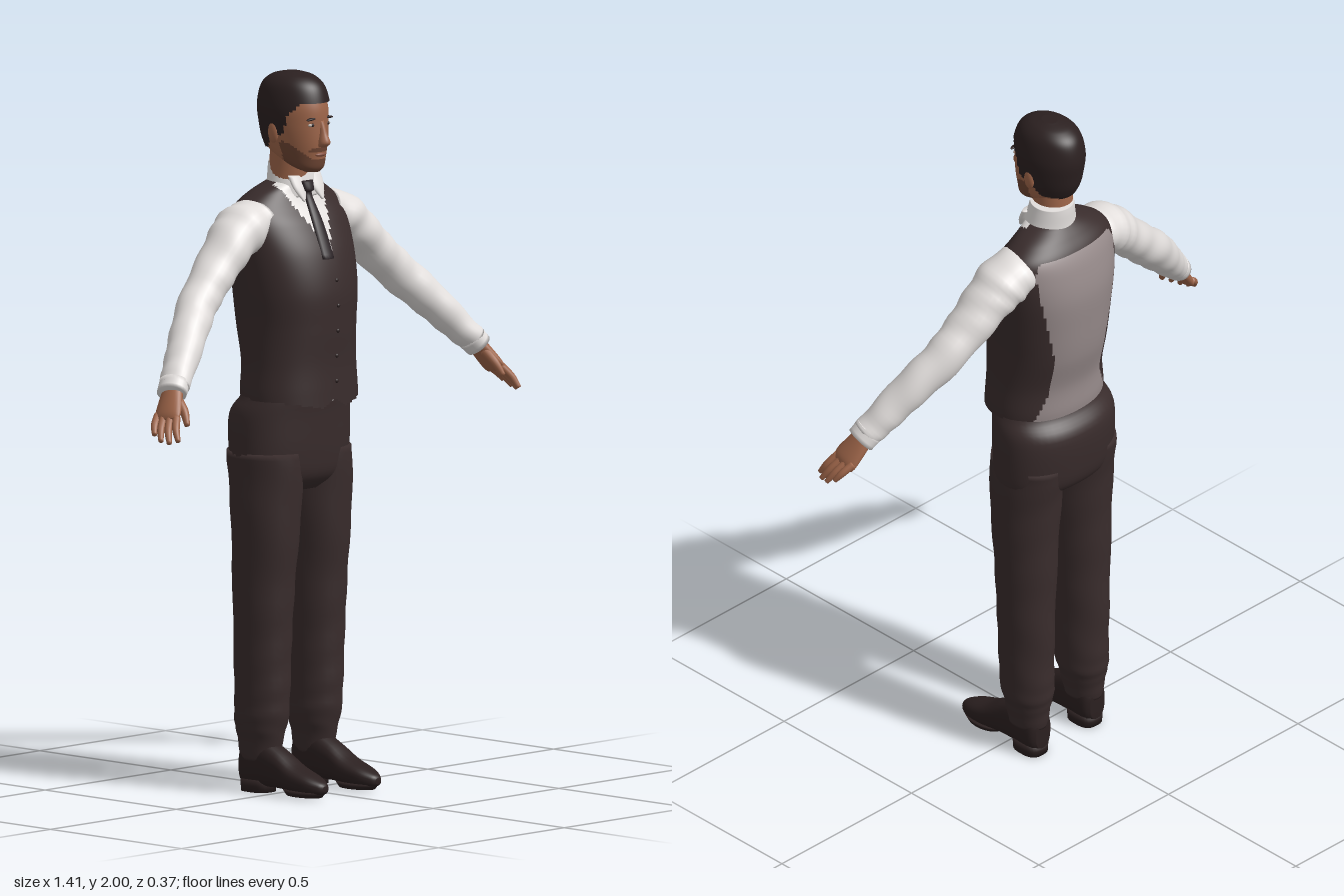
import * as THREE from 'three';

const mat = (name, color) => {
  const m = new THREE.MeshStandardMaterial({ color });
  m.name = name;
  return m;
};
const suit = mat('dark suit', 0x392c2c);
const hairMat = mat('dark hair', 0x2b2020);
const tieMat = mat('tie', 0x2c2427);
const shirt = mat('white shirt', 0xe2dedc);
const lining = mat('grey vest back', 0x968a8a);
const skin = mat('skin', 0x9e6549);
const beardMat = mat('beard', 0x6e4533);
const lipMat = mat('lips', 0x86503f);
const eyeMat = mat('eye white', 0xb8aca4);

// Linear look-up in a table of [input, output] pairs with rising input
function lookup(table, v) {
  if (v <= table[0][0]) return table[0][1];
  for (let i = 1; i < table.length; i++) {
    const [x0, y0] = table[i - 1], [x1, y1] = table[i];
    if (v <= x1) return y0 + (y1 - y0) * (v - x0) / (x1 - x0);
  }
  return table[table.length - 1][1];
}

// Smooth in-between rings
function resample(rings, k) {
  const out = [], n = rings.length - 1;
  for (let i = 0; i < n; i++) {
    const [p, a, b, q] = [i - 1, i, i + 1, i + 2].map(j => rings[Math.min(n, Math.max(0, j))]);
    for (let s = 0; s < k; s++) {
      const t = s / k;
      out.push(a.map((v, c) => v + 0.5 * t * (b[c] - p[c] + t * (2 * p[c] - 5 * v + 4 * b[c] - q[c]
        + t * (3 * (v - b[c]) + q[c] - p[c])))));
    }
  }
  out.push(rings[n]);
  return out;
}

// Skin over oval rings [x, y, z, halfWidth, halfDepth]; rule picks a material per face, -1 leaves it out
function loft(name, mats, rings, { axis = null, ref = [0, 0, 1], seg = 28, k = 5, n = 2, fold = 0, rule = null, caps = true } = {}) {
  const R = resample(rings, k), pos = [], V0 = new THREE.Vector3(...ref);
  const C = R.map(r => new THREE.Vector3(r[0], r[1], r[2]));
  R.forEach((r, i) => {
    const T = axis ? new THREE.Vector3(...axis)
      : C[Math.min(i + 1, C.length - 1)].clone().sub(C[Math.max(i - 1, 0)]).normalize();
    const V = V0.clone().addScaledVector(T, -V0.dot(T)).normalize();
    const U = T.clone().cross(V);
    for (let j = 0; j < seg; j++) {
      const w = j / seg * Math.PI * 2, c = Math.cos(w), s = Math.sin(w);
      const f = 1 + fold * Math.sin(i * 1.15 + 2 * Math.sin(w + i * 0.2));
      const p = C[i].clone()
        .addScaledVector(U, r[3] * f * Math.sign(c) * Math.abs(c) ** (2 / n))
        .addScaledVector(V, r[4] * f * Math.sign(s) * Math.abs(s) ** (2 / n));
      pos.push(p.x, p.y, p.z);
    }
  });
  const list = Array.isArray(mats) ? mats : [mats], faces = list.map(() => []);
  const add = (...ids) => {
    const m = [0, 1, 2].map(c => ids.reduce((t, id) => t + pos[id * 3 + c], 0) / ids.length);
    const g = rule ? rule(...m) : 0;
    if (g < 0) return;
    const [a, b, c, d] = ids;
    faces[g].push(a, b, c);
    if (d !== undefined) faces[g].push(a, c, d);
  };
  for (let i = 0; i < R.length - 1; i++) for (let j = 0; j < seg; j++) {
    const a = i * seg + j, b = i * seg + (j + 1) % seg;
    add(a, a + seg, b + seg, b);
  }
  if (caps) [0, R.length - 1].forEach((i, end) => {
    const c = pos.length / 3;
    pos.push(C[i].x, C[i].y, C[i].z);
    for (let j = 0; j < seg; j++) {
      const a = i * seg + j, b = i * seg + (j + 1) % seg;
      end ? add(c, b, a) : add(c, a, b);
    }
  });
  const geo = new THREE.BufferGeometry();
  geo.setAttribute('position', new THREE.Float32BufferAttribute(pos, 3));
  geo.setIndex(faces.flat());
  let start = 0;
  faces.forEach((f, i) => { geo.addGroup(start, f.length, i); start += f.length; });
  geo.computeVertexNormals();
  const mesh = new THREE.Mesh(geo, list.length > 1 ? list : list[0]);
  mesh.name = name;
  return mesh;
}

function ball(name, m, p, size, rz = 0) {
  const b = new THREE.Mesh(new THREE.SphereGeometry(1, 16, 12), m);
  b.name = name;
  b.position.set(...p);
  b.scale.set(...size);
  b.rotation.z = rz;
  return b;
}

const UP = [0, 1, 0];

function buildHead() {
  const head = new THREE.Group();
  head.name = 'head';
  head.position.x = -0.012;
  const skull = [[0, 1.728, 0.05, 0.022, 0.02], [0, 1.742, 0.034, 0.044, 0.046], [0, 1.77, 0.002, 0.06, 0.083],
    [0, 1.81, -0.01, 0.07, 0.1], [0, 1.86, -0.016, 0.077, 0.106], [0, 1.91, -0.02, 0.078, 0.107],
    [0, 1.955, -0.022, 0.066, 0.092], [0, 1.982, -0.022, 0.043, 0.06], [0, 1.993, -0.022, 0.012, 0.016]];
  // Beard covers jaw, chin and upper lip
  const isBeard = (x, y, z) => z > -0.005 && (y < lookup([[0, 1.764], [0.03, 1.768], [0.06, 1.80], [0.08, 1.83]], Math.abs(x))
    || (Math.abs(x) < 0.034 && y > 1.787 && y < 1.797 && z > 0.05));
  head.add(loft('face', [skin, beardMat], skull, { axis: UP, seg: 64, k: 7, rule: (x, y, z) => isBeard(x, y, z) ? 1 : 0 }));
  const line = [[-0.13, 1.775], [-0.05, 1.795], [-0.03, 1.83], [0.012, 1.835], [0.03, 1.885], [0.06, 1.92], [0.12, 1.925]];
  head.add(loft('hair', hairMat, skull.map(([x, y, z, a, b]) => [x, y + 0.007 * (y > 1.95), z, a + 0.007, b + 0.007]),
    { axis: UP, seg: 64, k: 9, rule: (x, y, z) => y > lookup(line, z) ? 0 : -1 }));
  head.add(loft('neck', skin, [[0, 1.67, -0.04, 0.058, 0.058], [0, 1.73, -0.034, 0.055, 0.06], [0, 1.79, -0.03, 0.055, 0.06]], { axis: UP }));
  head.add(loft('nose', skin, [[0, 1.799, 0.086, 0.013, 0.012], [0, 1.812, 0.096, 0.016, 0.019],
    [0, 1.84, 0.09, 0.01, 0.014], [0, 1.872, 0.083, 0.008, 0.009]], { axis: UP, seg: 16 }));
  head.add(ball('lips', lipMat, [0, 1.778, 0.083], [0.021, 0.006, 0.008]));
  for (const s of [-1, 1]) {
    head.add(ball('ear', skin, [s * 0.079, 1.838, -0.022], [0.009, 0.03, 0.018]));
    head.add(ball('eye', eyeMat, [s * 0.03, 1.862, 0.077], [0.013, 0.005, 0.006]));
    head.add(ball('iris', hairMat, [s * 0.03, 1.862, 0.081], [0.005, 0.005, 0.004]));
    head.add(ball('eyebrow', hairMat, [s * 0.032, 1.879, 0.079], [0.02, 0.004, 0.007], -s * 0.1));
  }
  return head;
}

function buildTorso() {
  const torso = new THREE.Group();
  torso.name = 'torso';
  const rings = [[0, 1.07, -0.008, 0.176, 0.135], [0, 1.12, -0.012, 0.176, 0.138], [0, 1.2, -0.013, 0.169, 0.138],
    [0, 1.3, -0.022, 0.169, 0.152], [0, 1.4, -0.027, 0.178, 0.157], [0, 1.5, -0.04, 0.186, 0.148],
    [0, 1.58, -0.052, 0.189, 0.122], [0, 1.63, -0.06, 0.178, 0.095], [0, 1.665, -0.055, 0.135, 0.074],
    [0, 1.69, -0.045, 0.085, 0.06], [0, 1.70, -0.042, 0.06, 0.05]];
  const panel = [[1.1, 0.135], [1.13, 0.125], [1.2, 0.094], [1.3, 0.094], [1.5, 0.138], [1.6, 0.15], [1.635, 0.13]];
  // Dark vest with grey back panel, open V neck and pointed hem
  const rule = (x, y, z) => {
    const ax = Math.abs(x);
    if (z > -0.03) {
      if (y < lookup([[0, 1.105], [0.04, 1.078], [0.17, 1.1]], ax)) return -1;
      if (y > 1.495 && ax < (y - 1.495) * 0.45) return 2;
    } else if (y < 1.105) return -1;
    return z < -0.08 && y < 1.635 && ax < lookup(panel, y) ? 1 : 0;
  };
  torso.add(loft('vest', [suit, lining, shirt], rings, { axis: UP, seg: 120, k: 9, n: 2.2, rule, caps: false }));
  torso.add(loft('collar', shirt, [[0, 1.655, -0.04, 0.085, 0.07], [0, 1.69, -0.038, 0.073, 0.068],
    [0, 1.73, -0.042, 0.064, 0.064], [0, 1.75, -0.044, 0.06, 0.061]], { axis: UP, seg: 40,
    rule: (x, y, z) => z > 0 && y > 1.748 - z ? -1 : 0 }));
  for (const s of [-1, 1]) {
    torso.add(loft('collar point', shirt, [[s * 0.036, 1.645, 0.044, 0.003, 0.004], [s * 0.036, 1.68, 0.026, 0.022, 0.01],
      [s * 0.036, 1.715, 0.008, 0.026, 0.012]], { axis: UP, seg: 16 }));
  }
  torso.add(loft('tie', tieMat, [[-0.01, 1.49, 0.11, 0.022, 0.009], [-0.01, 1.58, 0.073, 0.02, 0.009],
    [-0.01, 1.66, 0.033, 0.013, 0.009], [-0.01, 1.675, 0.035, 0.018, 0.012], [-0.01, 1.7, 0.028, 0.021, 0.012]], { axis: UP, seg: 16 }));
  [1.15, 1.22, 1.29, 1.36, 1.43].forEach(y => {
    const r = resample(rings, 9).find(q => q[1] >= y);
    torso.add(ball('vest button', hairMat, [0.008, y, r[2] + r[4]], [0.006, 0.006, 0.004]));
  });
  return torso;
}

function buildArm(s) {
  const arm = new THREE.Group();
  arm.name = s > 0 ? 'left arm' : 'right arm';
  const mirror = r => r.map(p => [p[0] * s, ...p.slice(1)]);
  arm.add(loft('sleeve', shirt, mirror([[0.13, 1.6, -0.055, 0.055, 0.075], [0.19, 1.575, -0.05, 0.068, 0.08],
    [0.245, 1.535, -0.043, 0.062, 0.073], [0.32, 1.465, -0.032, 0.056, 0.064], [0.4, 1.392, -0.014, 0.056, 0.056],
    [0.48, 1.315, 0.025, 0.051, 0.053], [0.55, 1.24, 0.06, 0.043, 0.048], [0.595, 1.195, 0.082, 0.038, 0.044]]), { fold: 0.035, k: 6 }));
  arm.add(loft('cuff', shirt, mirror([[0.585, 1.206, 0.077, 0.039, 0.045], [0.61, 1.178, 0.088, 0.036, 0.044]]), { k: 3 }));
  arm.add(loft('palm', skin, mirror([[0.595, 1.195, 0.082, 0.022, 0.03], [0.62, 1.16, 0.094, 0.02, 0.038],
    [0.645, 1.125, 0.107, 0.017, 0.043], [0.655, 1.11, 0.112, 0.011, 0.04]])));
  // Fingers fan out from front to back
  const tips = [[0.677, 1.062, 0.178], [0.692, 1.056, 0.158], [0.698, 1.06, 0.132], [0.694, 1.075, 0.104]];
  tips.forEach((t, i) => {
    const b = [0.645 + 0.002 * i, 1.122, 0.141 - 0.022 * i];
    const m = b.map((v, c) => (v + t[c]) / 2 + (c === 0 ? 0.006 : 0));
    arm.add(loft('finger', skin, mirror([[...b, 0.011, 0.011], [...m, 0.0105, 0.0105], [...t, 0.007, 0.007]]), { seg: 12 }));
  });
  arm.add(loft('thumb', skin, mirror([[0.61, 1.165, 0.11, 0.013, 0.015], [0.617, 1.135, 0.143, 0.012, 0.013],
    [0.628, 1.1, 0.165, 0.007, 0.008]]), { seg: 12 }));
  return arm;
}

function buildLeg(s) {
  const leg = new THREE.Group();
  leg.name = s > 0 ? 'left leg' : 'right leg';
  const o = s > 0 ? 0.012 : 0;
  leg.add(loft('trouser leg', suit, [[0.1, 0.09, -0.062, 0.046, 0.062], [0.1, 0.15, -0.062, 0.056, 0.07],
    [0.099, 0.2, -0.06, 0.068, 0.08], [0.099, 0.28, -0.056, 0.07, 0.083], [0.1, 0.42, -0.054, 0.074, 0.086],
    [0.1, 0.6, -0.049, 0.081, 0.093], [0.098, 0.8, -0.043, 0.091, 0.106], [0.097, 0.95, -0.05, 0.09, 0.118]]
    .map(([x, y, z, a, b]) => [x * s + o * Math.min(1, (1 - y) * 1.5), y, z, a, b]), { axis: UP, fold: 0.014, k: 6 }));
  // Shoe skinned from heel to toe, with a flat sole and heel block
  const x = 0.1 * s + o * 0.8;
  leg.add(loft('shoe', hairMat, [[x, 0.07, -0.12, 0.026, 0.045], [x, 0.075, -0.1, 0.042, 0.062], [x, 0.082, -0.04, 0.044, 0.066],
    [x, 0.07, 0.02, 0.044, 0.053], [x, 0.05, 0.08, 0.047, 0.036], [x, 0.038, 0.14, 0.04, 0.026],
    [x, 0.031, 0.175, 0.022, 0.017], [x, 0.03, 0.185, 0.008, 0.008]], { axis: [0, 0, 1], ref: UP, n: 2.5 }));
  leg.add(loft('sole', hairMat, [[x, 0.004, 0.105, 0.036, 0.06], [x, 0.02, 0.105, 0.042, 0.074]], { axis: UP, k: 2 }));
  leg.add(loft('heel', hairMat, [[x, 0, -0.07, 0.038, 0.048], [x, 0.035, -0.07, 0.04, 0.05]], { axis: UP, k: 2, n: 2.8 }));
  return leg;
}

export function createModel() {
  const man = new THREE.Group();
  man.name = 'man in vest';
  man.add(buildHead(), buildTorso());
  man.add(loft('trouser seat', suit, [[0.003, 0.84, -0.045, 0.14, 0.07], [0.003, 0.88, -0.05, 0.182, 0.113],
    [0.003, 0.95, -0.052, 0.191, 0.128], [0.003, 1.05, -0.05, 0.188, 0.133], [0.003, 1.1, -0.03, 0.172, 0.118],
    [0.003, 1.13, -0.025, 0.16, 0.112]], { axis: UP, seg: 48, n: 2.2 }));
  // Shirt tail showing at the vest opening
  man.add(ball('shirt tail', shirt, [0, 1.098, 0.09], [0.03, 0.012, 0.02]));
  for (const s of [-1, 1]) man.add(buildArm(s), buildLeg(s));
  return man;
}
